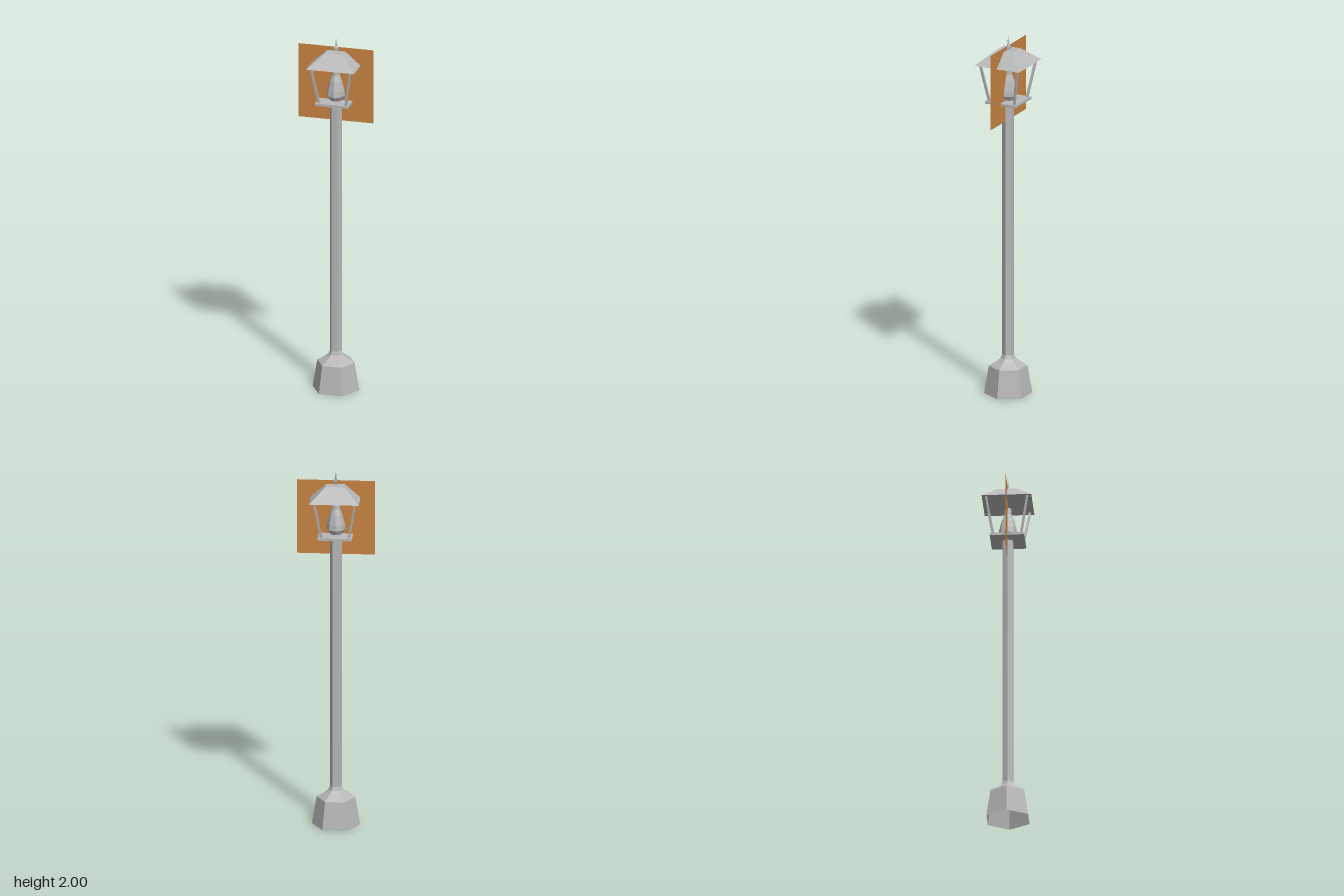
import * as THREE from 'three';

export function createModel() {
  const model = new THREE.Group();
  const stone = new THREE.MeshStandardMaterial({ color: 0xb8b8b8, side: THREE.DoubleSide });
  stone.name = 'grey metal';
  const glow = new THREE.MeshStandardMaterial({ color: 0xc88543, side: THREE.DoubleSide });
  glow.name = 'amber glow';

  // Adds a faceted mesh
  function add(name, geometry, material = stone) {
    const geo = geometry.index ? geometry.toNonIndexed() : geometry;
    geo.computeVertexNormals();
    const mesh = new THREE.Mesh(geo, material);
    mesh.name = name;
    model.add(mesh);
    return mesh;
  }

  // Turned part with a corner on +x; profile holds [radius, height] pairs
  function turned(name, sides, profile) {
    const points = profile.map(([r, y]) => new THREE.Vector2(r, y));
    return add(name, new THREE.LatheGeometry(points, sides, Math.PI / 2));
  }

  // Six-sided hollow foot, flare and pole
  turned('foot', 6, [[0.129, 0], [0.104, 0.153]]);
  turned('flare', 6, [[0.104, 0.153], [0.056, 0.183], [0.04, 0.198], [0.032, 0.218]]);
  turned('pole', 6, [[0.032, 0.218], [0.032, 1.64]]);

  // Tray that carries the lantern
  add('tray', new THREE.BoxGeometry(0.184, 0.013, 0.184)).position.y = 1.642;

  // Lamp bulb
  turned('bulb', 8, [
    [0.032, 1.645], [0.05, 1.674], [0.047, 1.705], [0.034, 1.757],
    [0.021, 1.79], [0.018, 1.828], [0, 1.829],
  ]);

  // Four corner posts leaning outwards
  const up = new THREE.Vector3(0, 1, 0);
  for (const sx of [-1, 1]) {
    for (const sz of [-1, 1]) {
      const low = new THREE.Vector3(sx * 0.074, 1.645, sz * 0.074);
      const high = new THREE.Vector3(sx * 0.111, 1.858, sz * 0.111);
      const post = add('cornerPost', new THREE.BoxGeometry(0.012, low.distanceTo(high), 0.012));
      post.position.addVectors(low, high).multiplyScalar(0.5);
      post.quaternion.setFromUnitVectors(up, high.clone().sub(low).normalize());
    }
  }

  // Truncated pyramid roof, closed underneath
  const roof = new THREE.CylinderGeometry(0.05 * Math.SQRT2, 0.133 * Math.SQRT2, 0.073, 4);
  roof.rotateY(Math.PI / 4);
  add('roof', roof).position.set(0.002, 1.89, 0);

  // Three-sided spike
  turned('finial', 3, [[0.01, 1.925], [0.015, 1.945], [0.008, 1.955], [0, 2]]);

  // Upright glow panel through the lantern
  add('glowPanel', new THREE.PlaneGeometry(0.417, 0.417), glow).position.y = 1.74;

  return model;
}
